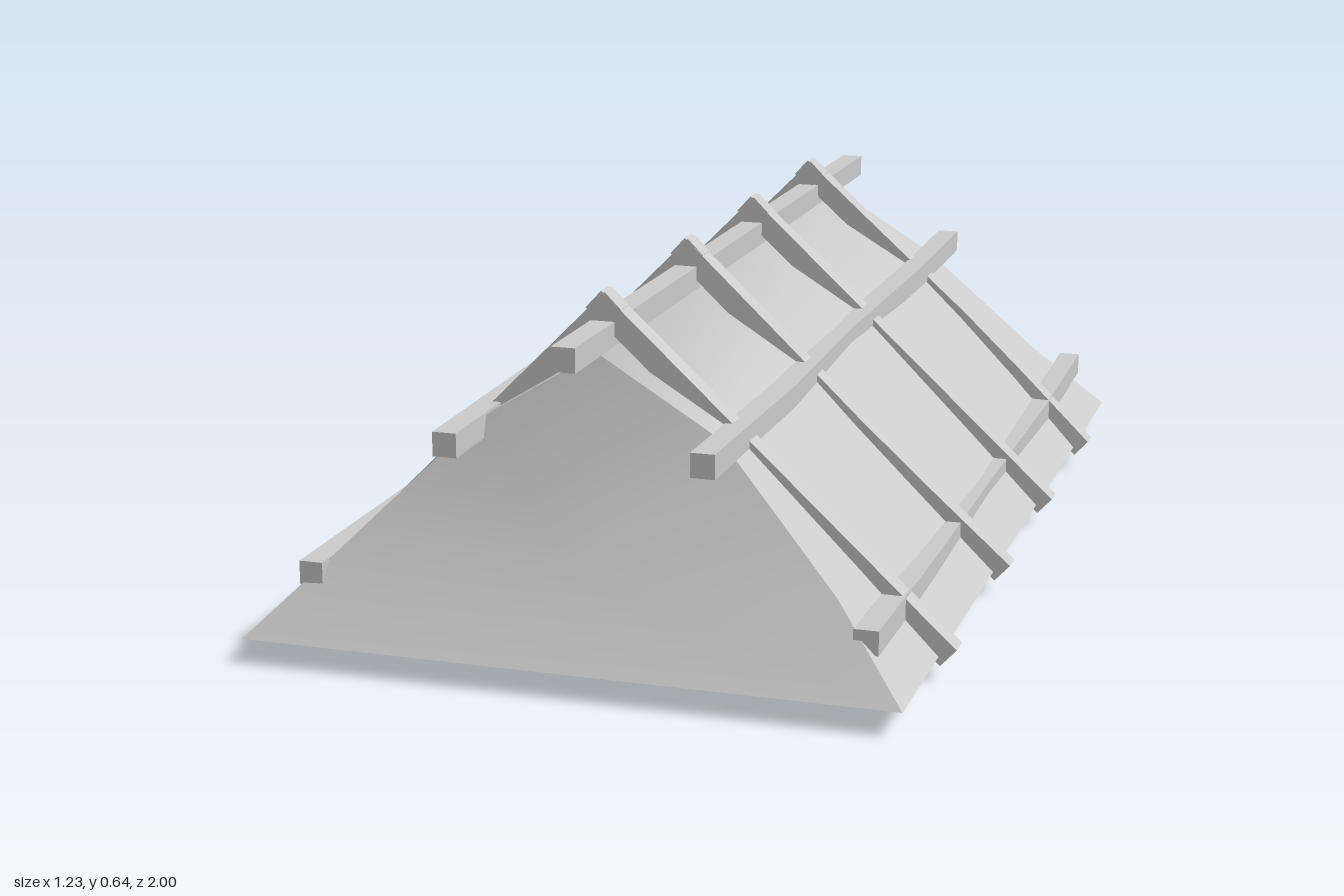
import * as THREE from 'three';

const grey = new THREE.MeshStandardMaterial({ color: 0xcccccc });
const greyThin = new THREE.MeshStandardMaterial({ color: 0xcccccc, side: THREE.DoubleSide });
const V = (x, y, z) => new THREE.Vector3(x, y, z);

function meshFrom(name, points, index, material, flat) {
  let geo = new THREE.BufferGeometry().setFromPoints(points);
  geo.setIndex(index);
  if (flat) geo = geo.toNonIndexed();
  geo.computeVertexNormals();
  const mesh = new THREE.Mesh(geo, material);
  mesh.name = name;
  return mesh;
}

// Square timber swept along a slightly crooked path; u x v points along the path
function timber(name, path, u, v, size) {
  const h = size / 2, points = [], index = [];
  for (const p of path)
    for (const [a, b] of [[h, h], [-h, h], [-h, -h], [h, -h]])
      points.push(p.clone().addScaledVector(u, a).addScaledVector(v, b));
  for (let i = 0; i < path.length - 1; i++)
    for (let k = 0; k < 4; k++) {
      const a = i * 4 + k, b = i * 4 + (k + 1) % 4;
      index.push(a, b, b + 4, a, b + 4, a + 4);
    }
  const e = (path.length - 1) * 4;
  index.push(0, 2, 1, 0, 3, 2, e, e + 1, e + 2, e, e + 2, e + 3);
  return meshFrom(name, points, index, grey, true);
}

// Covering: roof section from the left eave over the ridge to the right eave
function addCovering(group) {
  const half = [[0.585, 0.046, 1, -0.977], [0.447, 0.187, 0.888, -0.868],
    [0.22, 0.415, 0.8, -0.777], [0, 0.55, 0.8, -0.777]];
  const section = [...half, ...half.slice(0, 3).reverse().map(([x, y, f, b]) => [-x, y, f, b])];
  const front = section.map(([x, y, f]) => V(x, y, f));
  const back = section.map(([x, y, , b]) => V(x, y, b));

  const panel = (name, from, to) => {
    const points = [], index = [];
    for (let i = from; i <= to; i++) points.push(front[i], back[i]);
    for (let i = 0; i < to - from; i++) {
      const a = i * 2;
      index.push(a, a + 1, a + 3, a, a + 3, a + 2);
    }
    group.add(meshFrom(name, points, index, greyThin, false));
  };
  panel('leftRoofSlope', 0, 2);
  panel('roofCrown', 2, 4);
  panel('rightRoofSlope', 4, 6);

  // Sagging end walls, fanned around a point low on their middle line
  const gable = (name, rim, middle) => {
    const index = [];
    rim.forEach((_, i) => index.push(rim.length, i, (i + 1) % rim.length));
    group.add(meshFrom(name, [...rim, middle], index, greyThin, false));
  };
  gable('frontGable', front, V(0, 0.19, 0.905));
  gable('backGable', [...back].reverse(), V(0, 0.19, -0.885));
}

export function createModel() {
  const group = new THREE.Group();
  addCovering(group);

  // Lengthwise poles: [name, points back to front]
  const poles = [
    ['ridgePole', [[-0.012, 0.568, -0.975], [-0.012, 0.568, 0.93]]],
    ['leftMiddlePole', [[0.228, 0.415, -0.925], [0.23, 0.41, -0.55], [0.218, 0.402, 0], [0.23, 0.402, 0.45], [0.228, 0.407, 0.93]]],
    ['rightMiddlePole', [[-0.227, 0.407, -0.92], [-0.222, 0.41, -0.5], [-0.232, 0.413, 0], [-0.22, 0.417, 0.45], [-0.227, 0.405, 0.93]]],
    ['leftLowerPole', [[0.506, 0.135, -0.975], [0.506, 0.122, -0.6], [0.498, 0.113, 0], [0.504, 0.12, 0.5], [0.506, 0.132, 0.93]]],
    ['rightLowerPole', [[-0.485, 0.13, -1], [-0.477, 0.147, -0.88], [-0.485, 0.152, -0.5], [-0.485, 0.152, 0.5], [-0.483, 0.152, 0.93]]],
  ];
  for (const [name, pts] of poles)
    group.add(timber(name, pts.map(p => V(...p)), V(1, 0, 0), V(0, 1, 0), 0.043));

  // Rafter pairs; bow is the bend along z of the left rafter
  const z = V(0, 0, 1);
  const addRafter = (name, from, to, zPos, bow) => {
    const dir = to.clone().sub(from).normalize();
    const path = [[0, 0], [0.3, 0.5], [0.55, 1], [0.75, 0.75], [1, 0]].map(([t, bend]) => {
      const p = from.clone().lerp(to, t);
      p.z = zPos + bow * bend;
      return p;
    });
    group.add(timber(name, path, z, dir.cross(z), 0.042));
  };
  [[0.715, 0], [0.252, 0.016], [-0.18, 0], [-0.613, -0.03]].forEach(([zPos, bow], i) => {
    addRafter('leftRafter' + (i + 1), V(-0.028, 0.627, 0), V(0.602, 0.045, 0), zPos, bow);
    addRafter('rightRafter' + (i + 1), V(0.007, 0.626, 0), V(-0.602, 0.016, 0), zPos, 0);
  });
  return group;
}
